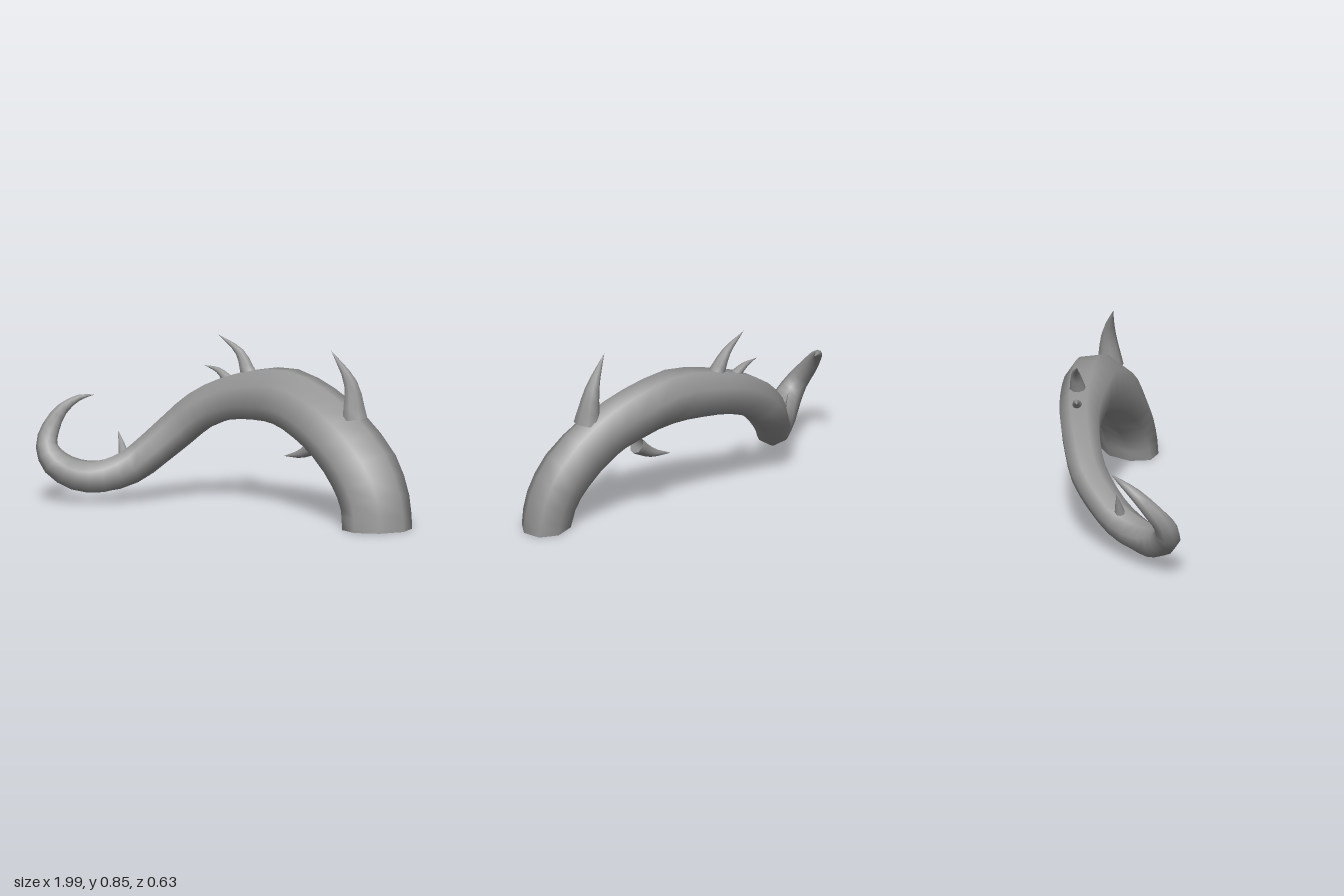
import * as THREE from 'three';

const material = new THREE.MeshStandardMaterial({ color: 0x969696, side: THREE.DoubleSide });
const SIDES = 8;

// Sweep a tapered ring along smoothed stations [x, y, z, radius].
// squash(t) gives the short/long axis ratio of the ring, tilt its roll angle.
function sweep(name, stations, ringsPerStation, squash, tilt) {
  const spans = stations.length - 1;
  const rings = spans * ringsPerStation;
  const curve = new THREE.CatmullRomCurve3(stations.map(([x, y, z]) => new THREE.Vector3(x, y, z)));
  const positions = [], index = [];
  for (let i = 0; i <= rings; i++) {
    const t = i / rings;
    const p = curve.getPoint(t);
    const tangent = curve.getTangent(t);
    const side = new THREE.Vector3(0, 0, 1).addScaledVector(tangent, -tangent.z).normalize();
    const normal = side.clone().cross(tangent);
    const s = Math.min(Math.floor(t * spans), spans - 1);
    const r = THREE.MathUtils.lerp(stations[s][3], stations[s + 1][3], t * spans - s);
    const ratio = squash(t);
    const long = r * (1 + (1 - ratio) * 0.24);
    for (let j = 0; j < SIDES; j++) {
      const a = (j / SIDES) * Math.PI * 2;
      const u = Math.cos(a) * long, w = Math.sin(a) * long * ratio;
      const v = p.clone()
        .addScaledVector(normal, u * Math.cos(tilt) - w * Math.sin(tilt))
        .addScaledVector(side, u * Math.sin(tilt) + w * Math.cos(tilt));
      positions.push(v.x, v.y, v.z);
      if (i < rings) {
        const A = i * SIDES + j, B = i * SIDES + ((j + 1) % SIDES);
        index.push(A, B, A + SIDES, B, B + SIDES, A + SIDES);
      }
    }
  }
  const geometry = new THREE.BufferGeometry();
  geometry.setAttribute('position', new THREE.Float32BufferAttribute(positions, 3));
  geometry.setIndex(index);
  geometry.computeVertexNormals();
  const mesh = new THREE.Mesh(geometry, material);
  mesh.name = name;
  return mesh;
}

// Curved thorn: a bent cone from base through a middle point to the tip.
function thorn(name, base, middle, tip, radius) {
  const stations = [[...base, radius], [...middle, radius * 0.54], [...tip, 0]];
  return sweep(name, stations, 3, () => 1, 0);
}

export function createModel() {
  const group = new THREE.Group();
  group.name = 'thornyTentacle';

  // Arching stem with a tilted oval section, open at the foot and curling to a point
  const stem = sweep('stem', [
    [0.838, 0, 0.185, 0.162], [0.82, 0.13, 0.168, 0.162], [0.745, 0.275, 0.128, 0.165],
    [0.585, 0.425, 0.057, 0.157], [0.425, 0.515, -0.02, 0.152], [0.24, 0.572, -0.1, 0.144],
    [0.06, 0.56, -0.165, 0.126], [-0.1, 0.525, -0.205, 0.112], [-0.26, 0.45, -0.218, 0.102],
    [-0.37, 0.355, -0.205, 0.098], [-0.475, 0.255, -0.15, 0.092], [-0.57, 0.172, -0.078, 0.088],
    [-0.69, 0.13, 0.008, 0.084], [-0.8, 0.142, 0.065, 0.079], [-0.895, 0.2, 0.098, 0.07],
    [-0.948, 0.275, 0.08, 0.054], [-0.952, 0.355, 0.02, 0.045], [-0.92, 0.44, -0.06, 0.03],
    [-0.86, 0.488, -0.125, 0.015], [-0.79, 0.502, -0.16, 0],
  ], 2, (t) => 0.72 + 0.28 * Math.min(1, t * 1.6), 0.5);
  // The foot ring lies flat on the ground
  for (let j = 0; j < SIDES; j++) stem.geometry.attributes.position.setY(j, 0);
  stem.geometry.computeVertexNormals();
  group.add(stem);

  // Thorns, largest near the foot
  group.add(
    thorn('largeThorn', [0.672, 0.515, 0.065], [0.645, 0.69, 0.053], [0.545, 0.848, 0.06], 0.066),
    thorn('crestThorn', [0.005, 0.65, -0.2], [-0.05, 0.752, -0.22], [-0.17, 0.832, -0.232], 0.042),
    thorn('crestThornSmall', [-0.11, 0.61, -0.22], [-0.17, 0.652, -0.236], [-0.25, 0.671, -0.246], 0.028),
    thorn('lowerThorn', [-0.61, 0.225, -0.088], [-0.628, 0.285, -0.1], [-0.65, 0.342, -0.112], 0.028),
    thorn('underThorn', [0.43, 0.36, -0.05], [0.34, 0.302, -0.07], [0.23, 0.276, -0.1], 0.044),
  );
  return group;
}
